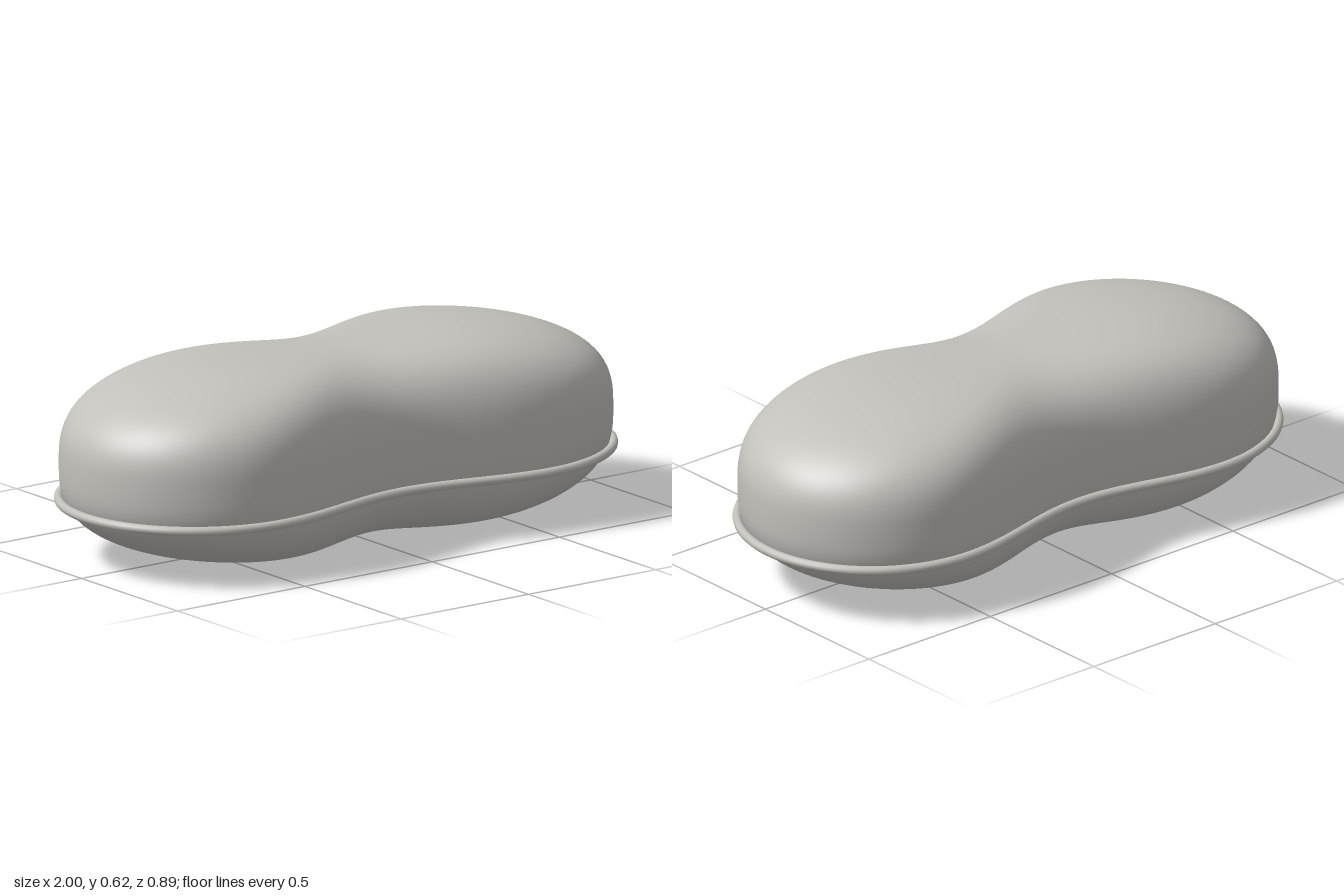
import * as THREE from 'three';
import { mergeVertices } from 'three/addons/utils/BufferGeometryUtils.js';

const LENGTH = 0.985; // half length of the shell
const LOBE = 0.53; // where each lobe is widest
const MID_Y = 0.31;
const POWER = 2.9; // squareness of the vertical profile

// Half width of the peanut outline at x
function halfWidth(x) {
  const d = Math.abs(x);
  if (d < LOBE) return 0.3885 - 0.0435 * Math.cos((Math.PI * d) / LOBE);
  const t = (d - LOBE) / (LENGTH - LOBE);
  return 0.432 * Math.sqrt(Math.max(0, 1 - t * t));
}

// Point on the outline for an angle around y
function outline(angle, y = 0) {
  const x = LENGTH * Math.cos(angle);
  return new THREE.Vector3(x, y, halfWidth(x) * Math.sign(Math.sin(angle)));
}

// Half height, dipping slightly at the waist
const halfHeight = (x) => 0.323 - 0.028 * Math.exp(-((x / 0.33) ** 2));

// Sphere reshaped to a squarish dome above and below the outline
function shellGeometry() {
  const sphere = new THREE.SphereGeometry(1, 144, 64);
  const pos = sphere.attributes.position;
  for (let i = 0; i < pos.count; i++) {
    const px = pos.getX(i), py = pos.getY(i), pz = pos.getZ(i);
    const scale = Math.hypot(px, pz) ** (2 / POWER);
    const rise = Math.sign(py) * Math.abs(py) ** (2 / POWER);
    const p = outline(Math.atan2(pz, px)).multiplyScalar(scale);
    pos.setXYZ(i, p.x, MID_Y + rise * halfHeight(p.x), p.z);
  }
  // Weld the seam so the normals stay smooth all round
  sphere.deleteAttribute('uv');
  sphere.deleteAttribute('normal');
  const welded = mergeVertices(sphere, 1e-5);
  welded.computeVertexNormals();
  return welded;
}

export function createModel() {
  const model = new THREE.Group();
  model.name = 'peanutCase';

  const shellGrey = new THREE.MeshStandardMaterial({ color: 0xc2c0ba });
  shellGrey.name = 'shellGrey';

  // Smooth two-lobed body
  const shell = new THREE.Mesh(shellGeometry(), shellGrey);
  shell.name = 'shell';
  model.add(shell);

  // Round bead that follows the outline
  const points = [];
  for (let i = 0; i < 96; i++) points.push(outline((i / 96) * Math.PI * 2, 0.195));
  const path = new THREE.CatmullRomCurve3(points, true);
  const rim = new THREE.Mesh(new THREE.TubeGeometry(path, 240, 0.015, 12, true), shellGrey);
  rim.name = 'rim';
  model.add(rim);

  return model;
}
